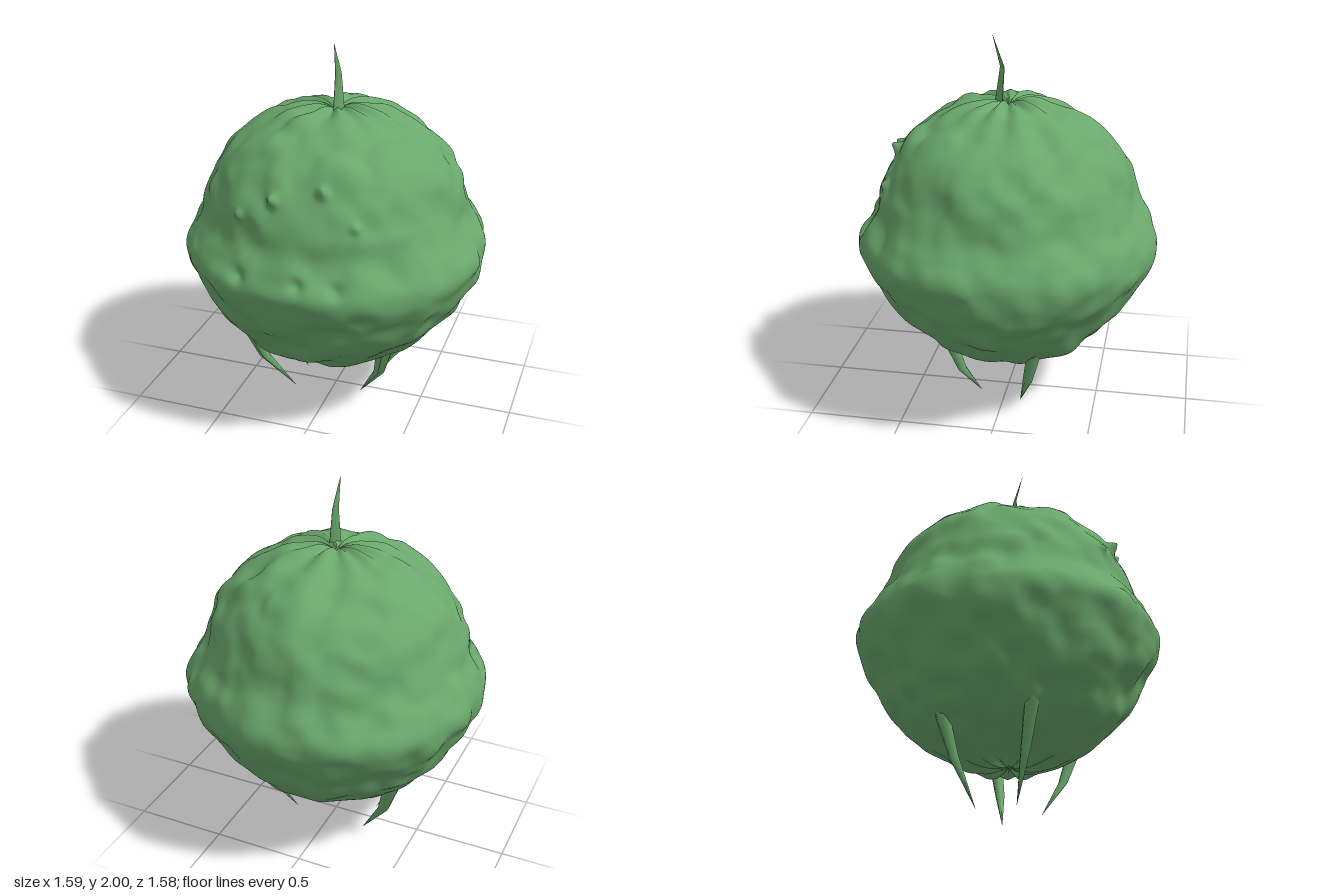
import * as THREE from 'three';
import { mergeVertices } from 'three/addons/utils/BufferGeometryUtils.js';

const green = new THREE.MeshStandardMaterial({ color: 0x6aa86c });
green.name = 'leafGreen';

// Smooth seeded value noise in the range -1..1
function hash(i, j, k) {
  const s = Math.sin(i * 127.1 + j * 311.7 + k * 74.7 + 5.3) * 43758.5453;
  return (s - Math.floor(s)) * 2 - 1;
}
function noise(x, y, z) {
  const i = Math.floor(x), j = Math.floor(y), k = Math.floor(z);
  const fade = (t) => t * t * t * (t * (t * 6 - 15) + 10);
  const u = fade(x - i), v = fade(y - j), w = fade(z - k);
  const mix = THREE.MathUtils.lerp;
  const row = (b, c) => mix(hash(i, b, c), hash(i + 1, b, c), u);
  return mix(mix(row(j, k), row(j + 1, k), v), mix(row(j, k + 1), row(j + 1, k + 1), v), w);
}

// Small knobs (positive) and dents (negative) on the front: x, y, z, height, radius
const details = [
  [-0.3, 1.26, 0.6, 0.035, 0.022], [-0.12, 1.36, 0.61, 0.055, 0.026],
  [0.12, 1.42, 0.57, 0.055, 0.026], [0.3, 1.27, 0.6, 0.045, 0.026],
  [-0.27, 1.0, 0.73, -0.03, 0.035], [0.05, 1.01, 0.77, -0.03, 0.035],
  [0.24, 1.0, 0.74, -0.03, 0.035],
];

// Lumpy, ripple-skinned round body with pleats gathered at both poles
function makeBody() {
  const profile = [
    [0, 0.265], [0.05, 0.25], [0.13, 0.255], [0.23, 0.28], [0.34, 0.325], [0.47, 0.4],
    [0.59, 0.52], [0.69, 0.67], [0.765, 0.81], [0.795, 0.93], [0.755, 1.03], [0.7, 1.12],
    [0.67, 1.22], [0.62, 1.35], [0.53, 1.47], [0.41, 1.565], [0.25, 1.645],
    [0.12, 1.67], [0.05, 1.66], [0, 1.635],
  ].map(([r, y]) => new THREE.Vector2(r, y));
  const curve = new THREE.SplineCurve(profile);
  const points = curve.getSpacedPoints(150).map((p) => new THREE.Vector2(Math.max(p.x, 0), p.y));
  points[0].x = points[150].x = 0;

  let geo = new THREE.LatheGeometry(points, 280);
  geo.deleteAttribute('uv');
  geo.deleteAttribute('normal');
  geo = mergeVertices(geo, 1e-5);
  geo.computeVertexNormals();

  const pos = geo.attributes.position, nor = geo.attributes.normal;
  const p = new THREE.Vector3(), n = new THREE.Vector3(), c = new THREE.Vector3();
  for (let i = 0; i < pos.count; i++) {
    p.fromBufferAttribute(pos, i);
    n.fromBufferAttribute(nor, i);
    const rho = Math.hypot(p.x, p.z), angle = Math.atan2(p.z, p.x);
    const calm = Math.min(1, rho / 0.3);
    let d = calm * (0.013 * noise(p.x * 5.5, p.y * 6.5, p.z * 5.5)
      + 0.017 * noise(p.x * 8.5 + 9, p.y * 8.5, p.z * 8.5));
    // slightly broader across than deep
    d += 0.009 * Math.cos(2 * angle) * rho * rho;
    // radial pleats fading away from each pole
    const pleat = Math.sin(11 * angle + 1.5 * Math.sin(2 * angle)) + 0.4 * Math.sin(7 * angle + 1);
    d += 0.013 * pleat * Math.min(1, rho / 0.12) * Math.exp(-((rho / 0.36) ** 2));
    for (const [x, y, z, h, r] of details) {
      d += h * Math.exp(-p.distanceToSquared(c.set(x, y, z)) / (r * r));
    }
    p.addScaledVector(n, d);
    pos.setXYZ(i, p.x, p.y, p.z);
  }
  geo.computeVertexNormals();
  return geo;
}

// Bent tapering thorn through root, knee and tip; radii given at root and knee,
// flattened by thickness and turned about y
function makeThorn(path, radii, thickness, turn) {
  const geo = new THREE.CylinderGeometry(1, 1, 2, 6, 2, true);
  geo.scale(1, 1, thickness).rotateY(turn);
  const pos = geo.attributes.position;
  const sizes = [...radii, 0.001];
  const down = path[2][1] < path[0][1];
  for (let i = 0; i < pos.count; i++) {
    const level = Math.round(down ? 1 - pos.getY(i) : 1 + pos.getY(i));
    const [x, y, z] = path[level], s = sizes[level];
    pos.setXYZ(i, x + pos.getX(i) * s, y, z + pos.getZ(i) * s);
  }
  geo.computeVertexNormals();
  return geo;
}

export function createModel() {
  const group = new THREE.Group();
  const add = (name, geo) => {
    const mesh = new THREE.Mesh(geo, green);
    mesh.name = name;
    group.add(mesh);
  };
  add('body', makeBody());

  // Flat blade-like stalk on the crown
  const stalkPath = [[0.03, 1.62, 0.05], [0.02, 1.84, 0.03], [0.015, 2, 0.08]];
  add('stalk', makeThorn(stalkPath, [0.038, 0.02], 0.2, Math.PI / 4));

  // Four thorn legs curling inward under the body
  const legs = {
    frontRightLeg: [[-0.43, 0.46, 0.26], [-0.355, 0.22, 0.2], [-0.21, 0, 0.11]],
    backRightLeg: [[-0.43, 0.46, -0.21], [-0.355, 0.22, -0.16], [-0.21, 0, -0.1]],
    frontLeftLeg: [[0.36, 0.46, 0.26], [0.31, 0.25, 0.2], [0.18, 0.05, 0.12]],
    backLeftLeg: [[0.4, 0.46, -0.21], [0.34, 0.22, -0.16], [0.2, 0.02, -0.1]],
  };
  for (const [name, path] of Object.entries(legs)) add(name, makeThorn(path, [0.05, 0.032], 0.8, 0));
  return group;
}
